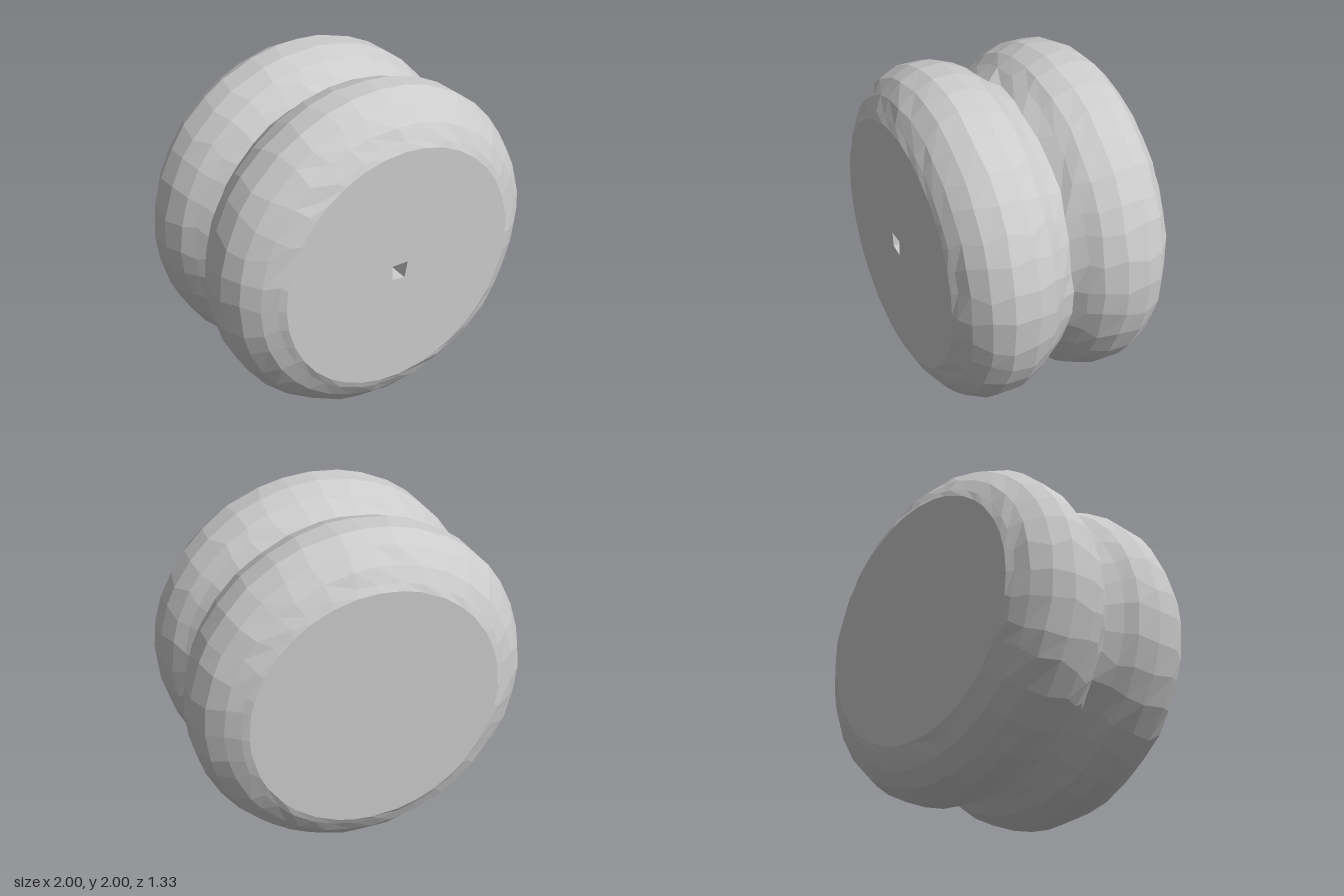
import * as THREE from 'three';

const SEGMENTS = 36;
const FACE_RADIUS = 0.74;
const FACE_Z = 0.665;
const PIT_DEPTH = 0.3;

// [z, radius] from the back face, over the waist, to the rim of the front face
const HALF = [[0.08, 0.9], [0.15, 0.955], [0.27, 0.998], [0.41, 0.998], [0.52, 0.945], [0.6, 0.86], [0.645, 0.78], [FACE_Z, FACE_RADIUS]];
const PROFILE = [
  [-FACE_Z, 0],
  ...HALF.map(([z, r]) => [-z, r]).reverse(),
  [-0.005, 0.845],
  ...HALF,
];

// Four slightly uneven corners of the centre hole, counter-clockwise
const HOLE = [[-0.06, -0.045], [0.022, -0.058], [0.04, 0.042], [-0.065, 0.042]];

function flatMaterial() {
  return new THREE.MeshStandardMaterial({ color: 0xcccccc, flatShading: true });
}

// Repeatable value from -1 to 1 for a ring and segment
function wobble(ring, segment) {
  const s = Math.sin(ring * 12.9898 + segment * 78.233) * 43758.5453;
  return (s - Math.floor(s)) * 2 - 1;
}

function addMesh(group, name, geometry) {
  const mesh = new THREE.Mesh(geometry, flatMaterial());
  mesh.name = name;
  group.add(mesh);
}

// Two bulging discs meeting in a notched waist, with slightly uneven facets
function bodyGeometry() {
  const points = PROFILE.map(([z, r]) => new THREE.Vector2(r, z));
  const geometry = new THREE.LatheGeometry(points, SEGMENTS);
  const pos = geometry.attributes.position;
  const last = PROFILE.length - 1;
  const waist = last / 2;
  for (let i = 0; i < pos.count; i++) {
    const ring = i % PROFILE.length;
    const seg = Math.floor(i / PROFILE.length) % SEGMENTS;
    if (ring === 0 || ring === last) continue;
    const [z, r] = PROFILE[ring];
    const angle = ((seg + 0.2 * wobble(ring, seg)) / SEGMENTS) * Math.PI * 2;
    const nearWaist = Math.abs(ring - Math.round(waist)) < 1;
    const shift = (nearWaist ? 0.018 : 0.008) * wobble(ring + 31, seg);
    pos.setXYZ(i, r * Math.sin(angle), ring === 1 ? z : z + shift, r * Math.cos(angle));
  }
  geometry.rotateX(Math.PI / 2);
  return geometry;
}

// Flat front disc pierced by the hole
function faceGeometry() {
  const rim = [];
  for (let i = 0; i < SEGMENTS; i++) {
    const a = (i / SEGMENTS) * Math.PI * 2;
    rim.push(new THREE.Vector2(FACE_RADIUS * Math.sin(a), -FACE_RADIUS * Math.cos(a)));
  }
  const shape = new THREE.Shape(rim);
  shape.holes.push(new THREE.Path(HOLE.map(([x, y]) => new THREE.Vector2(x, y))));
  return new THREE.ShapeGeometry(shape).translate(0, 0, FACE_Z);
}

// Inward-facing walls and floor of the hole
function pitGeometry() {
  const vertices = [];
  const indices = [8, 9, 10, 8, 10, 11].map((i) => i - 4);
  for (const z of [FACE_Z, FACE_Z - PIT_DEPTH]) {
    for (const [x, y] of HOLE) vertices.push(x, y, z);
  }
  for (let i = 0; i < 4; i++) {
    const j = (i + 1) % 4;
    indices.push(i, j, j + 4, i, j + 4, i + 4);
  }
  const geometry = new THREE.BufferGeometry();
  geometry.setAttribute('position', new THREE.Float32BufferAttribute(vertices, 3));
  geometry.setIndex(indices);
  geometry.computeVertexNormals();
  return geometry;
}

export function createModel() {
  const group = new THREE.Group();
  group.name = 'doubleDisc';
  addMesh(group, 'body', bodyGeometry());
  addMesh(group, 'frontFace', faceGeometry());
  addMesh(group, 'centreHole', pitGeometry());
  group.children.forEach((mesh) => { mesh.position.y = 1; });
  return group;
}
